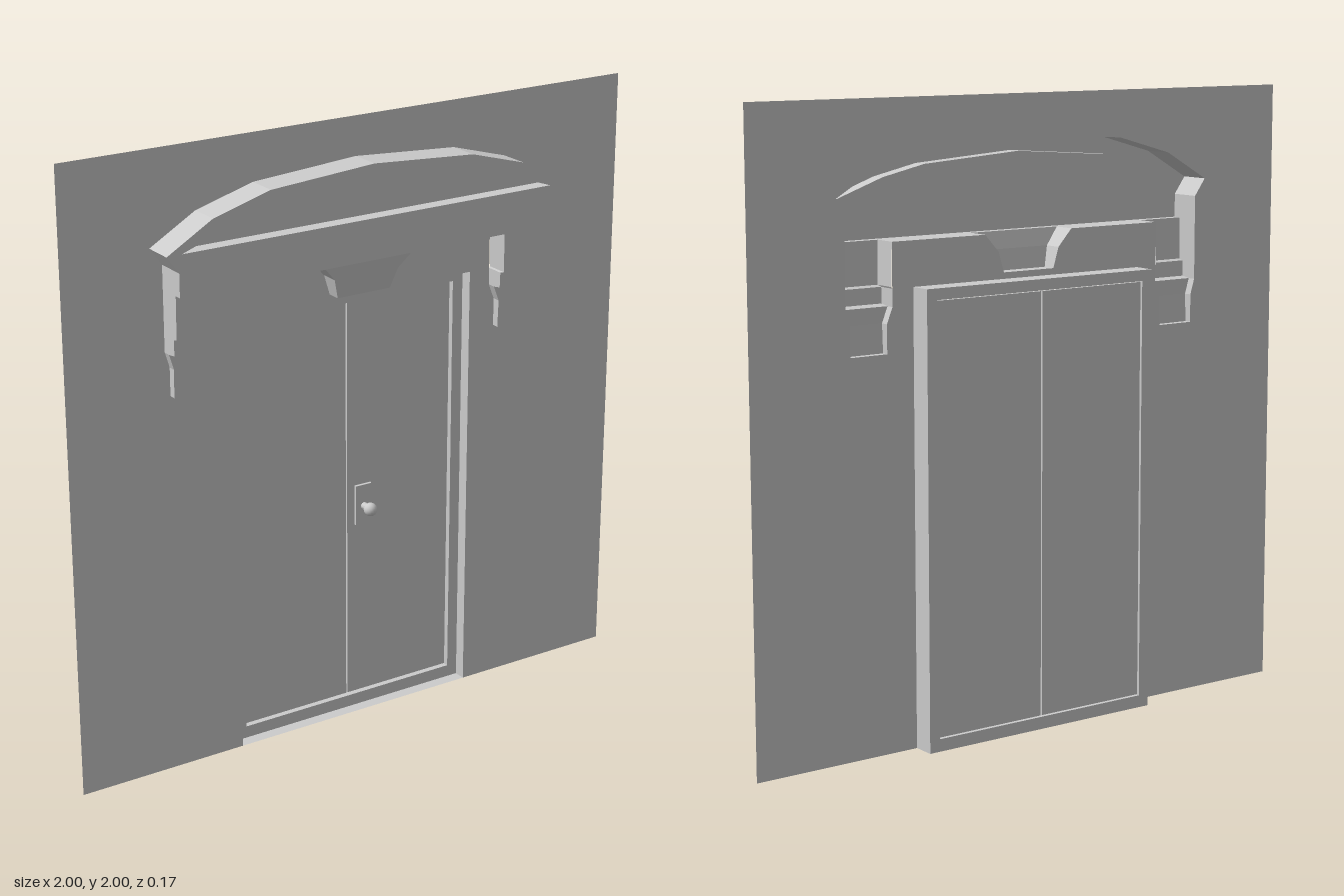
import * as THREE from 'three';

const material = new THREE.MeshStandardMaterial({ color: 0xcccccc, flatShading: true, side: THREE.DoubleSide });
const BACK = -0.015; // plane of the wall

function add(parent, name, geometry, x = 0, y = 0, z = 0) {
  const mesh = new THREE.Mesh(geometry, material);
  mesh.name = name;
  mesh.position.set(x, y, z);
  parent.add(mesh);
  return mesh;
}

const toPoints = (list) => list.map(([x, y]) => new THREE.Vector2(x, y));

// Mirror a right-hand half outline into a full one (points run from +x to -x)
const mirror = (half) => [...half, ...half.filter(([x]) => x !== 0).reverse().map(([x, y]) => [-x, y])];

function flat(outline, hole) {
  const shape = new THREE.Shape(toPoints(outline));
  if (hole) shape.holes.push(new THREE.Path(toPoints(hole)));
  return shape;
}

// Faceted skin between successive rows of 3D points
function skin(rows) {
  const pos = [];
  for (let r = 0; r < rows.length - 1; r++) {
    for (let i = 0; i < rows[r].length - 1; i++) {
      const a = rows[r][i], b = rows[r][i + 1], c = rows[r + 1][i + 1], d = rows[r + 1][i];
      pos.push(...a, ...d, ...b, ...b, ...d, ...c);
    }
  }
  const g = new THREE.BufferGeometry();
  g.setAttribute('position', new THREE.Float32BufferAttribute(pos, 3));
  g.computeVertexNormals();
  return g;
}

// Ribbon following an outline between two depths
const ribbon = (pts, z0, z1) => skin([z1, z0].map((z) => pts.map(([x, y]) => [x, y, z])));

// Hollow moulding, open at the back: rows of [y, xLeft, xRight, frontDepth]
const moulding = (rows) =>
  skin(rows.map(([y, x0, x1, z]) => [[x0, y, BACK], [x0, y, z], [x1, y, z], [x1, y, BACK]]));

export function createModel() {
  const model = new THREE.Group();
  model.name = 'doorway';

  const archHalf = [[0.67, 1.575], [0.67, 1.65], [0.71, 1.705], [0.555, 1.795], [0.36, 1.85], [0, 1.875]];
  const lens = mirror([[0.66, 1.706], [0.5, 1.762], [0.35, 1.795], [0, 1.82]]);
  const arch = mirror(archHalf);

  // Wall with the doorway cut out and an opening behind the hollow hood
  const hoodHole = mirror([
    [0.095, 1.455], [0.115, 1.52], [0.165, 1.575], [0.505, 1.575], [0.505, 1.38], [0.525, 1.33],
    [0.525, 1.24], [0.655, 1.24], [0.655, 1.33], [0.67, 1.38], ...archHalf,
  ]);
  const wall = mirror([[0.43, 0], [1, 0], [1, 2]]);
  wall.push([-0.43, 1.435], [0.43, 1.435]);
  add(model, 'wall', new THREE.ShapeGeometry(flat(wall, hoodHole)), 0, 0, BACK);

  // Hood: arched cornice with a recessed tympanum
  const hood = new THREE.Group();
  hood.name = 'hood';
  model.add(hood);
  add(hood, 'corniceFront', new THREE.ShapeGeometry(flat(arch, lens)), 0, 0, 0.087);
  add(hood, 'corniceEdge', ribbon(arch, BACK, 0.087));
  add(hood, 'tympanumReveal', ribbon([...lens, lens[0]], 0.04, 0.087));
  add(hood, 'tympanum', new THREE.ShapeGeometry(flat(lens)), 0, 0, 0.04);
  add(hood, 'soffitFront', ribbon([[-0.67, 1.575], [0.67, 1.575]], 0.06, 0.087));

  // Soffit and stepped bracket on each side
  for (const s of [-1, 1]) {
    add(hood, 'soffit', ribbon([[s * 0.165, 1.575], [s * 0.505, 1.575]], BACK, 0.06));
    const steps = [
      [1.575, 0.505, 0.67, 0.062], [1.44, 0.508, 0.67, 0.06], [1.435, 0.505, 0.67, 0.045],
      [1.385, 0.505, 0.67, 0.043], [1.38, 0.505, 0.67, 0.012], [1.33, 0.525, 0.655, 0.012],
      [1.24, 0.525, 0.655, 0.008], [1.24, 0.525, 0.655, BACK],
    ];
    add(hood, 'bracket', moulding(steps.map(([y, a, b, z]) => [y, s * a, s * b, z])));
  }

  // Keystone under the middle of the cornice
  add(hood, 'keystone', moulding([
    [1.575, -0.165, 0.165, 0.06], [1.52, -0.115, 0.115, 0.045],
    [1.455, -0.095, 0.095, 0.03], [1.455, -0.095, 0.095, BACK],
  ]));

  // Door frame set back into the wall
  const rect = (x, y0, y1) => [[x, y0], [x, y1], [-x, y1], [-x, y0]];
  const outer = rect(0.43, 0, 1.435);
  add(model, 'reveal', ribbon([...outer, outer[0]], -0.055, BACK));
  add(model, 'doorFrame', new THREE.ExtrudeGeometry(flat(outer, rect(0.393, 0.04, 1.4)),
    { depth: 0.033, bevelEnabled: false }), 0, 0, -0.088);

  // Two door leaves
  for (const s of [-1, 1]) {
    add(model, 'doorLeaf', new THREE.BoxGeometry(0.388, 1.354, 0.012), s * 0.1965, 0.72, -0.076);
  }

  // Handle plate, stem and round knob
  add(model, 'handlePlate', new THREE.BoxGeometry(0.06, 0.135, 0.012), 0.06, 0.708, -0.066);
  add(model, 'knobStem', new THREE.CylinderGeometry(0.01, 0.012, 0.04, 12).rotateX(Math.PI / 2), 0.06, 0.703, -0.045);
  const knob = add(model, 'knob', new THREE.SphereGeometry(0.022, 16, 12), 0.06, 0.703, -0.022);
  knob.material = new THREE.MeshStandardMaterial({ color: 0xcccccc });
  return model;
}
